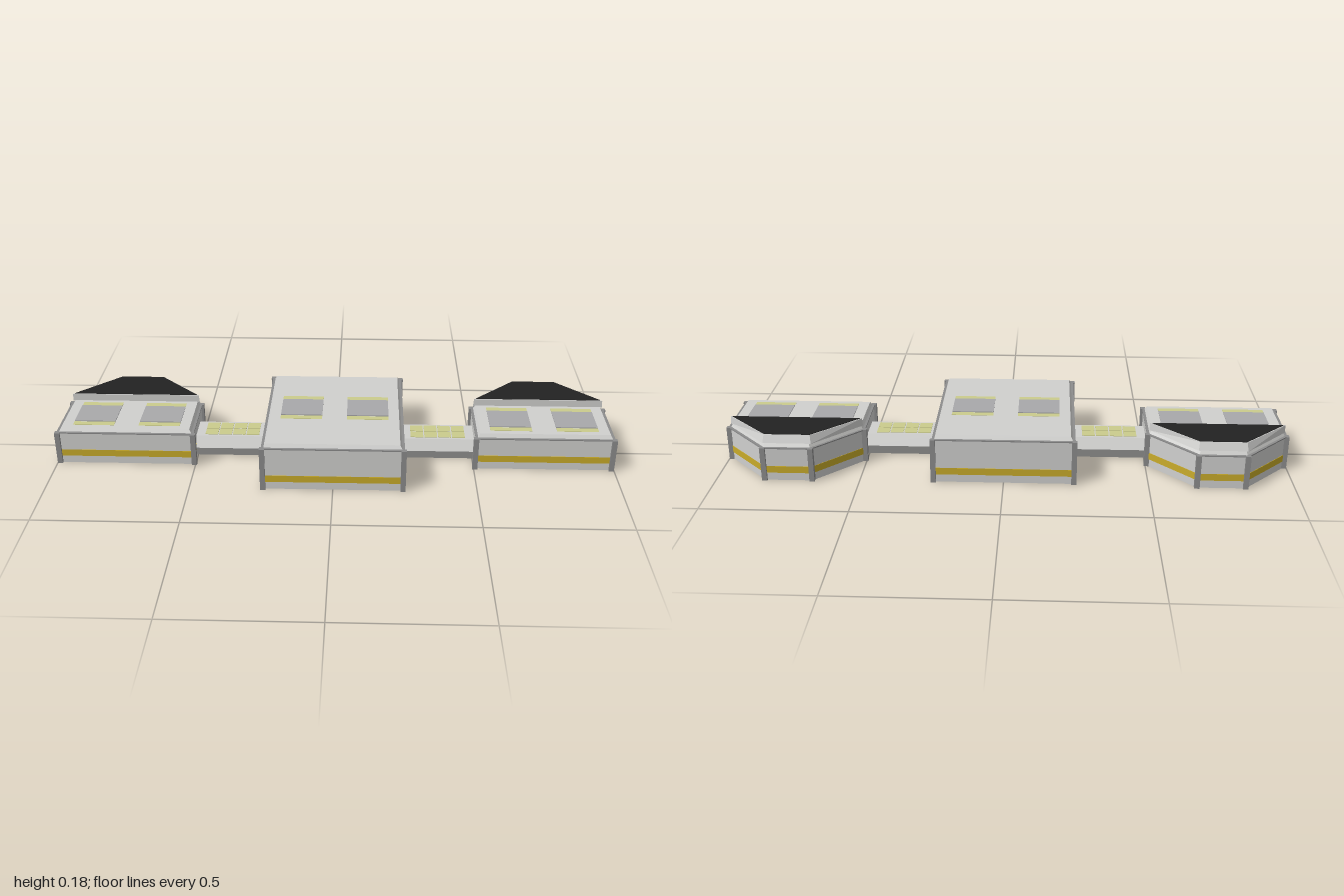
import * as THREE from 'three';

const mat = (name, color) => Object.assign(new THREE.MeshStandardMaterial({ color }), { name });

// Moves every edge of a convex [x, z] outline inward by d
function inset(poly, d) {
  const n = poly.length;
  const normal = (i) => {
    const a = poly[(i + n) % n], b = poly[(i + 1) % n];
    const dx = b[0] - a[0], dz = b[1] - a[1], l = Math.hypot(dx, dz);
    return [dz / l, -dx / l];
  };
  return poly.map(([x, z], i) => {
    const p = normal(i - 1), q = normal(i);
    const k = d / (1 + p[0] * q[0] + p[1] * q[1]);
    return [x + k * (p[0] + q[0]), z + k * (p[1] + q[1])];
  });
}

// Closed solid between two matching convex outlines
function loft(lower, y0, upper, y1) {
  const pos = [], n = lower.length;
  const L = lower.map(([x, z]) => [x, y0, z]), U = upper.map(([x, z]) => [x, y1, z]);
  const tri = (a, b, c) => pos.push(...a, ...b, ...c);
  for (let i = 0; i < n; i++) {
    const j = (i + 1) % n;
    tri(L[i], L[j], U[j]);
    tri(L[i], U[j], U[i]);
    if (i > 0 && i < n - 1) {
      tri(U[0], U[i], U[i + 1]);
      tri(L[0], L[i + 1], L[i]);
    }
  }
  const g = new THREE.BufferGeometry();
  g.setAttribute('position', new THREE.Float32BufferAttribute(pos, 3));
  g.computeVertexNormals();
  return g;
}

export function createModel() {
  const model = new THREE.Group();
  model.name = 'modularBase';
  const wall = mat('pale grey', 0xd0d0ce);
  const trim = mat('trim grey', 0x8c8c8c);
  const panel = mat('panel grey', 0xa9a9ab);
  const yellow = mat('stripe yellow', 0xc8ab2a);
  const glow = mat('pale light yellow', 0xcbcc8c);
  const black = mat('black', 0x222222);

  const add = (parent, name, geo, material, x = 0, y = 0, z = 0) => {
    const m = new THREE.Mesh(geo, material);
    m.name = name;
    m.position.set(x, y, z);
    parent.add(m);
    return m;
  };

  // Walls, stripe, corner posts, top trim, tapered roof and roof panels
  function building(name, outline, wallTop, roofTop) {
    const g = new THREE.Group();
    g.name = name;
    model.add(g);
    add(g, 'walls', loft(outline, 0, outline, wallTop - 0.003), wall);
    const band = inset(outline, -0.0015);
    add(g, 'stripe', loft(band, 0.028, band, 0.053), yellow);
    const edge = inset(outline, -0.003);
    add(g, 'topTrim', loft(edge, wallTop - 0.004, edge, wallTop), trim);
    for (const [x, z] of outline) {
      add(g, 'cornerPost', new THREE.BoxGeometry(0.018, wallTop, 0.018), trim, x, wallTop / 2, z);
    }
    add(g, 'roof', loft(inset(outline, 0.006), wallTop, inset(outline, 0.013), roofTop), wall);
    for (const s of [-1, 1]) {
      add(g, 'roofPanel', new THREE.BoxGeometry(0.148, 0.004, 0.12), panel, s * 0.118, roofTop + 0.001, 0);
      for (const t of [-1, 1]) {
        add(g, 'roofLight', new THREE.BoxGeometry(0.148, 0.002, 0.025), glow, s * 0.118, roofTop, t * 0.075);
      }
    }
    return g;
  }

  // Central hall
  building('centralHall', [[-0.243, 0.28], [0.243, 0.28], [0.243, -0.27], [-0.243, -0.27]], 0.16, 0.173);

  // Side pods with a chamfered back and a raised dark deck
  const podOutline = [[-0.243, 0.121], [0.243, 0.121], [0.243, -0.112], [0.083, -0.28], [-0.083, -0.28], [-0.243, -0.112]];
  const deckLow = [[-0.238, -0.105], [0.238, -0.105], [0.084, -0.268], [-0.084, -0.268]];
  const deckHigh = [[-0.236, -0.105], [0.236, -0.105], [0.08, -0.257], [-0.08, -0.257]];
  for (const s of [-1, 1]) {
    const pod = building(s > 0 ? 'leftPod' : 'rightPod', podOutline, 0.123, 0.136);
    pod.position.x = s * 0.747;
    add(pod, 'raisedDeck', loft(deckLow, 0.134, deckHigh, 0.162), wall);
    const cover = inset(deckHigh, 0.003);
    add(pod, 'deckCover', loft(cover, 0.161, cover, 0.164), black);
  }

  // Six-sided corridors with roof windows
  const strip = (h) => [[-0.13, h], [0.13, h], [0.13, -h], [-0.13, -h]];
  for (const s of [-1, 1]) {
    const c = new THREE.Group();
    c.name = s > 0 ? 'leftCorridor' : 'rightCorridor';
    c.position.x = s * 0.373;
    model.add(c);
    add(c, 'lowerHull', loft(strip(0.053), 0.001, strip(0.073), 0.04), wall);
    add(c, 'upperHull', loft(strip(0.073), 0.04, strip(0.053), 0.08), wall);
    for (let i = 0; i < 4; i++) {
      for (const t of [-1, 1]) {
        add(c, 'roofWindow', new THREE.BoxGeometry(0.046, 0.002, 0.041), glow, (i - 1.5) * 0.05, 0.081, t * 0.0225);
      }
    }
  }
  return model;
}
